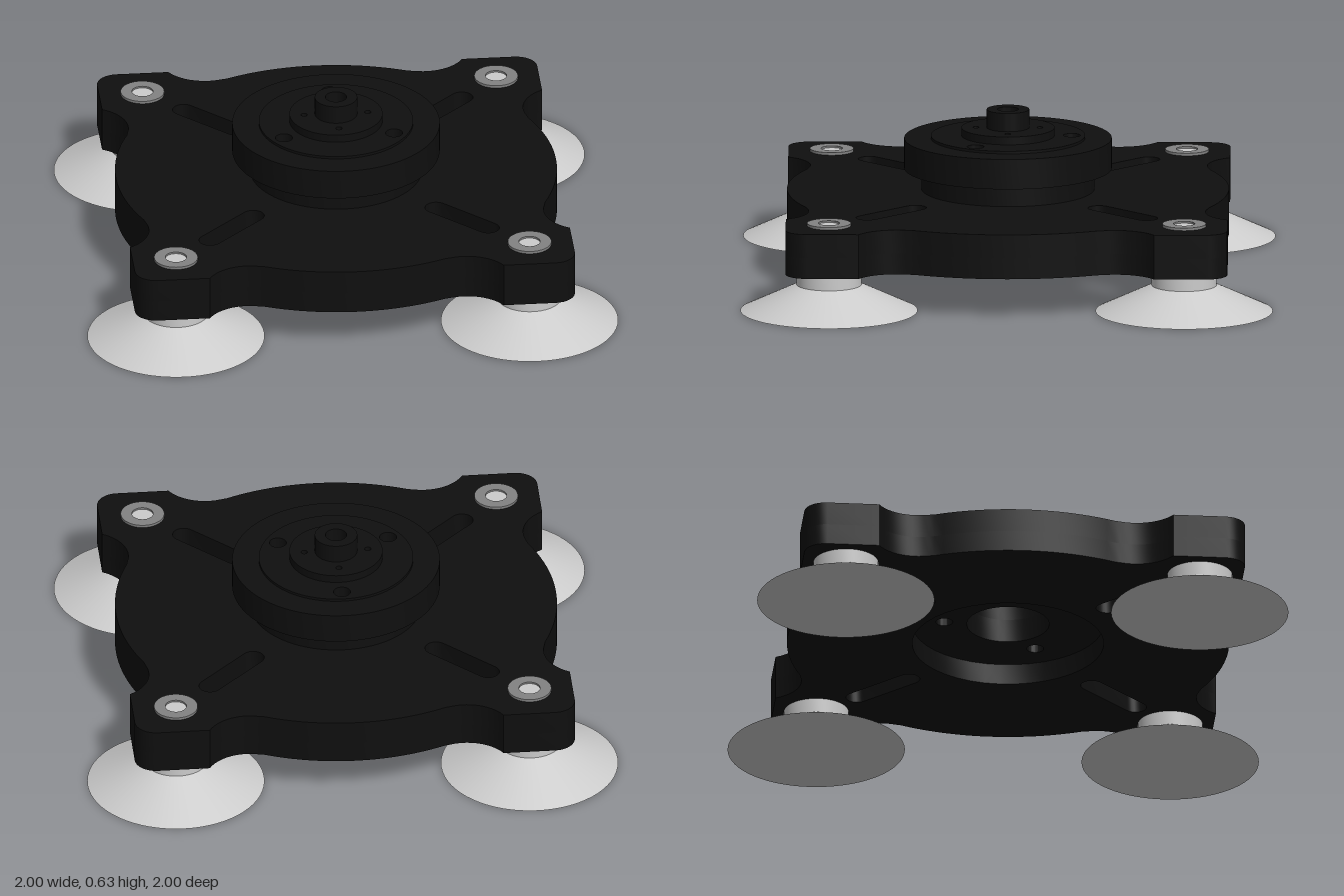
import * as THREE from 'three';
import { toCreasedNormals } from 'three/addons/utils/BufferGeometryUtils.js';

const black = new THREE.MeshStandardMaterial({ color: 0x0f0f0f });
const steel = new THREE.MeshStandardMaterial({ color: 0x828282 });
const grey = new THREE.MeshStandardMaterial({ color: 0xcccccc });

const PI = Math.PI;

function mesh(name, geometry, material) {
  const m = new THREE.Mesh(geometry, material);
  m.name = name;
  return m;
}

// Points along an arc, angles in radians
function arc(cx, cy, r, from, to, n) {
  return Array.from({ length: n + 1 }, (_, i) => {
    const a = from + ((to - from) * i) / n;
    return new THREE.Vector2(cx + r * Math.cos(a), cy + r * Math.sin(a));
  });
}

const circle = (r, x = 0, y = 0) => new THREE.Path().absarc(x, y, r, 0, 2 * PI);

// Holes evenly spaced on a pitch circle
function holeRing(count, pitch, r) {
  return Array.from({ length: count }, (_, i) => {
    const a = PI / 2 + (i * 2 * PI) / count;
    return circle(r, pitch * Math.cos(a), pitch * Math.sin(a));
  });
}

// Horizontal slab between two heights
function slab(points, holes, y0, y1) {
  const shape = new THREE.Shape(points);
  shape.holes.push(...holes);
  const g = new THREE.ExtrudeGeometry(shape, { depth: y1 - y0, bevelEnabled: false, curveSegments: 20 });
  g.rotateX(-PI / 2).translate(0, y0, 0);
  return toCreasedNormals(g, 0.5);
}

const disc = (r, holes, y0, y1) => slab(arc(0, 0, r, 0, 2 * PI, 72).slice(0, -1), holes, y0, y1);

// Round body with four square lugs, joined by concave fillets
function plateOutline() {
  const f = Math.atan2(0.41, 0.91);
  const e = Math.atan2(0.144, -0.08);
  const quarter = [
    ...arc(0, 0, 0.83, -f, f, 20),
    ...arc(0.91, 0.41, 0.165, f + PI, e, 12).slice(1),
    ...arc(0.75, 0.75, 0.08, 0, PI / 2, 8),
    ...arc(0.41, 0.91, 0.165, PI / 2 - e, -PI / 2 - f, 12).slice(0, -1),
  ];
  const points = [];
  for (let k = 0; k < 4; k++) {
    for (const p of quarter) points.push(p.clone().rotateAround(new THREE.Vector2(), (k * PI) / 2));
  }
  return points;
}

// Rounded diagonal slots, one toward each lug
function slots() {
  return [0, 1, 2, 3].map((k) => {
    const a = PI / 4 + (k * PI) / 2;
    const c = Math.cos(a), s = Math.sin(a);
    return new THREE.Path([
      ...arc(0.742 * c, 0.742 * s, 0.042, a - PI / 2, a + PI / 2, 12),
      ...arc(0.488 * c, 0.488 * s, 0.042, a + PI / 2, a + 1.5 * PI, 12),
    ]);
  });
}

export function createModel() {
  const root = new THREE.Group();
  root.name = 'suctionCupBase';

  const screwHoles = holeRing(3, 0.24, 0.032);
  const pinHoles = holeRing(4, 0.12, 0.012);
  const bore = circle(0.155);

  // Base plate, with a wide recess under its centre
  const plate = new THREE.Group();
  plate.name = 'basePlate';
  const outline = plateOutline();
  plate.add(
    mesh('plateLower', slab(outline, [circle(0.36), ...slots()], 0.155, 0.235), black),
    mesh('plateUpper', slab(outline, [bore, ...screwHoles, ...slots()], 0.235, 0.325), black)
  );
  root.add(plate);

  // Stepped hub, bored from below
  const hub = new THREE.Group();
  hub.name = 'hub';
  hub.add(
    mesh('hubNeck', disc(0.325, [bore, ...screwHoles], 0.325, 0.405), black),
    mesh('hubFlange', disc(0.39, [bore, ...screwHoles], 0.405, 0.52), black),
    mesh('hubCap', disc(0.29, [...screwHoles, ...pinHoles], 0.52, 0.53), black),
    mesh('hubStep', disc(0.175, pinHoles, 0.53, 0.56), black),
    mesh('hubPost', disc(0.08, [circle(0.04)], 0.56, 0.63), black)
  );
  root.add(hub);

  // Suction cup and bolt under each lug
  const cupProfile = [[0, 0], [0.333, 0], [0.122, 0.1], [0.122, 0.155], [0, 0.155]]
    .map(([x, y]) => new THREE.Vector2(x, y));
  const cupGeometry = toCreasedNormals(new THREE.LatheGeometry(cupProfile, 64), 0.35);
  const boltGeometry = disc(0.082, [circle(0.04)], 0.3, 0.335);
  const socketGeometry = new THREE.CylinderGeometry(0.041, 0.041, 0.01, 32).translate(0, 0.303, 0);
  // Socket floor sits inside the bolt head, above the plate surface
  socketGeometry.translate(0, 0.018, 0);
  for (const x of [-0.667, 0.667]) {
    for (const z of [-0.667, 0.667]) {
      const foot = new THREE.Group();
      foot.name = 'foot';
      foot.position.set(x, 0, z);
      foot.add(
        mesh('suctionCup', cupGeometry, grey),
        mesh('boltHead', boltGeometry, steel),
        mesh('boltSocket', socketGeometry, grey)
      );
      root.add(foot);
    }
  }
  // Lift the socket floors just clear of the plate
  root.traverse((o) => { if (o.name === 'boltSocket') o.position.y = 0.002; });
  return root;
}
